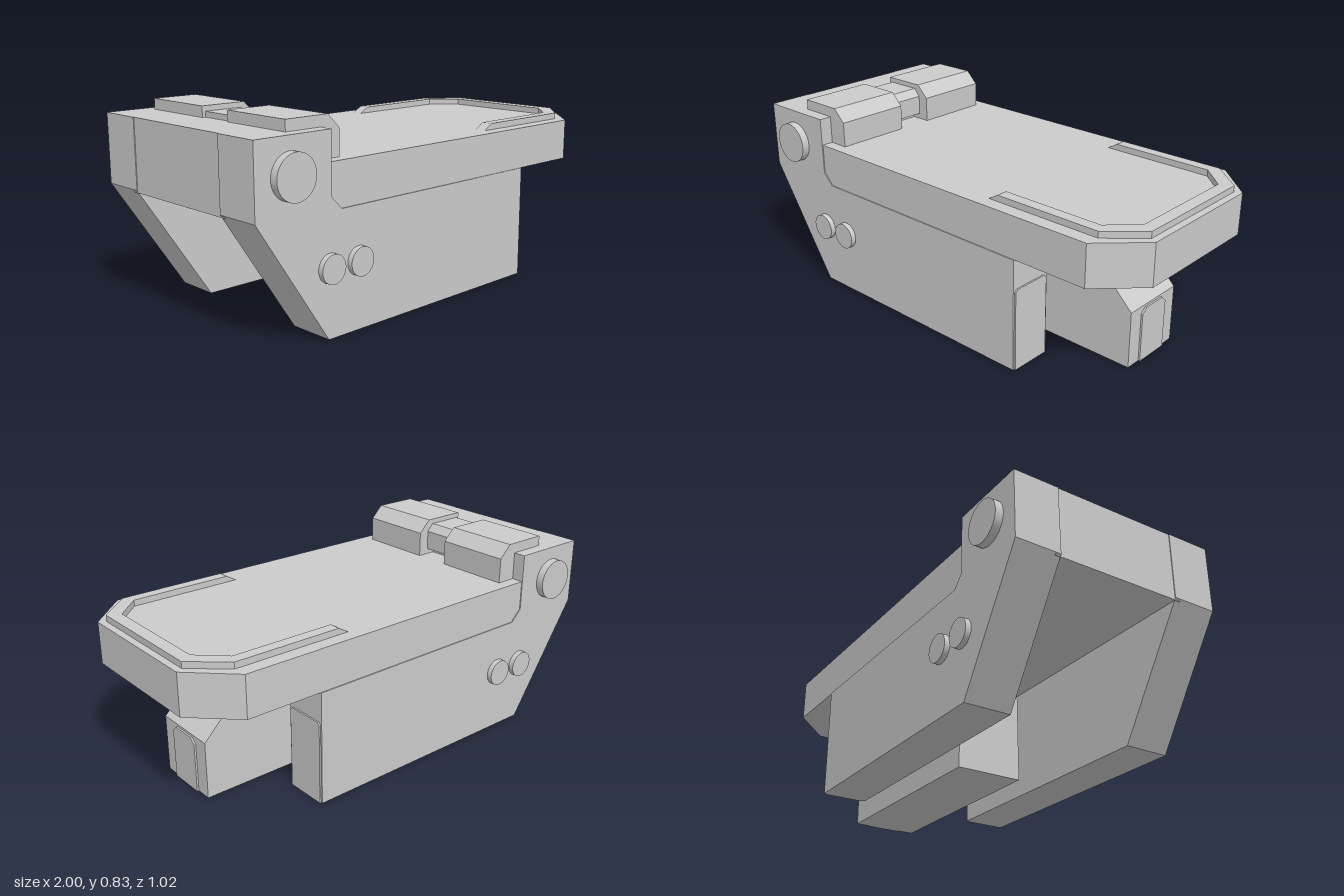
import * as THREE from 'three';

const material = new THREE.MeshStandardMaterial({ color: 0xcccccc, flatShading: true });
const smooth = new THREE.MeshStandardMaterial({ color: 0xcccccc });

function add(group, name, geometry, mat = material) {
  const mesh = new THREE.Mesh(geometry, mat);
  mesh.name = name;
  group.add(mesh);
  return mesh;
}

const shapeOf = (points) => new THREE.Shape(points.map(([x, y]) => new THREE.Vector2(x, y)));

// Side profile (x, y) extruded from z0 to z1
function slab(points, z0, z1) {
  return new THREE.ExtrudeGeometry(shapeOf(points), { depth: z1 - z0, bevelEnabled: false }).translate(0, 0, z0);
}

// Plan outline (x, z) extruded from y0 to y1
function plate(points, y0, y1) {
  return new THREE.ExtrudeGeometry(shapeOf(points), { depth: y1 - y0, bevelEnabled: false })
    .rotateX(-Math.PI / 2).translate(0, y0, 0);
}

// Thin pad on a +x face with cut upper corners
function facePad(x, z0, z1, top, cut, depth) {
  const s = shapeOf([[-z1, 0], [-z0, 0], [-z0, top - cut], [-z0 - cut, top], [-z1 + cut, top], [-z1, top - cut]]);
  return new THREE.ExtrudeGeometry(s, { depth, bevelEnabled: false }).rotateY(Math.PI / 2).translate(x, 0, 0);
}

export function createModel() {
  const model = new THREE.Group();
  model.name = 'platform';

  // Deck with two cut corners
  add(model, 'deck', plate([[-0.99, -0.47], [0.825, -0.47], [1, -0.3], [1, 0.3], [0.825, 0.47], [-0.99, 0.47]], 0.49, 0.67));

  // Raised rim whose ends ramp down to the deck
  const half = [[0.3, 0.41], [0.83, 0.41], [0.97, 0.285]];
  const inner = [[0.915, 0.255], [0.805, 0.36], [0.3, 0.36]];
  const flip = (list) => list.map(([x, z]) => [x, -z]).reverse();
  const rim = plate([...half, ...flip(half), ...flip(inner), ...inner], 0.668, 0.697);
  const p = rim.attributes.position;
  for (let i = 0; i < p.count; i++) {
    if (p.getX(i) < 0.31 && p.getY(i) > 0.68) p.setX(i, 0.35);
  }
  rim.computeVertexNormals();
  add(model, 'deckRim', rim);

  // Head block between the side plates
  add(model, 'headBlock', slab([[-0.997, 0.49], [-0.65, 0.49], [-0.65, 0.79], [-0.997, 0.79]], -0.3, 0.3));

  // Centre leg with sloping nose
  add(model, 'centreLeg', slab([[-0.12, 0], [0.817, 0], [0.817, 0.25], [0.57, 0.495], [-0.12, 0.495]], -0.15, 0.15));
  add(model, 'centreLegPad', facePad(0.815, -0.08, 0.08, 0.24, 0.025, 0.01));

  // Hinge bar linking the caps
  add(model, 'hingeBar', slab([[-0.8, 0.695], [-0.61, 0.695], [-0.61, 0.78], [-0.64, 0.813], [-0.8, 0.813]], -0.085, 0.085));

  for (const side of [1, -1]) {
    const label = side > 0 ? 'front' : 'back';
    const span = (a, b) => (side > 0 ? [a, b] : [-b, -a]);

    // Side leg rising into the head cheek
    add(model, label + 'SideLeg', slab([[-0.67, 0], [0.49, 0], [0.49, 0.49], [-0.6, 0.49], [-0.65, 0.54],
      [-0.65, 0.79], [-1, 0.79], [-1, 0.5]], ...span(0.275, 0.474)));
    add(model, label + 'SideLegPad', facePad(0.488, ...span(0.285, 0.467), 0.36, 0.012, 0.009));

    // Hinge cap
    add(model, label + 'HingeCap', slab([[-0.815, 0.66], [-0.56, 0.66], [-0.56, 0.78], [-0.615, 0.835], [-0.815, 0.835]],
      ...span(0.08, 0.418)));

    // Round bosses
    for (const [name, x, y, r, out] of [['HeadBoss', -0.84, 0.645, 0.09, 0.508],
      ['RearBoss', -0.66, 0.275, 0.058, 0.497], ['ForeBoss', -0.515, 0.275, 0.058, 0.497]]) {
      const depth = out - 0.46;
      const boss = new THREE.CylinderGeometry(r, r, depth, 40).rotateX(Math.PI / 2);
      add(model, label + name, boss, smooth).position.set(x, y, side * (0.46 + depth / 2));
    }
  }
  return model;
}
